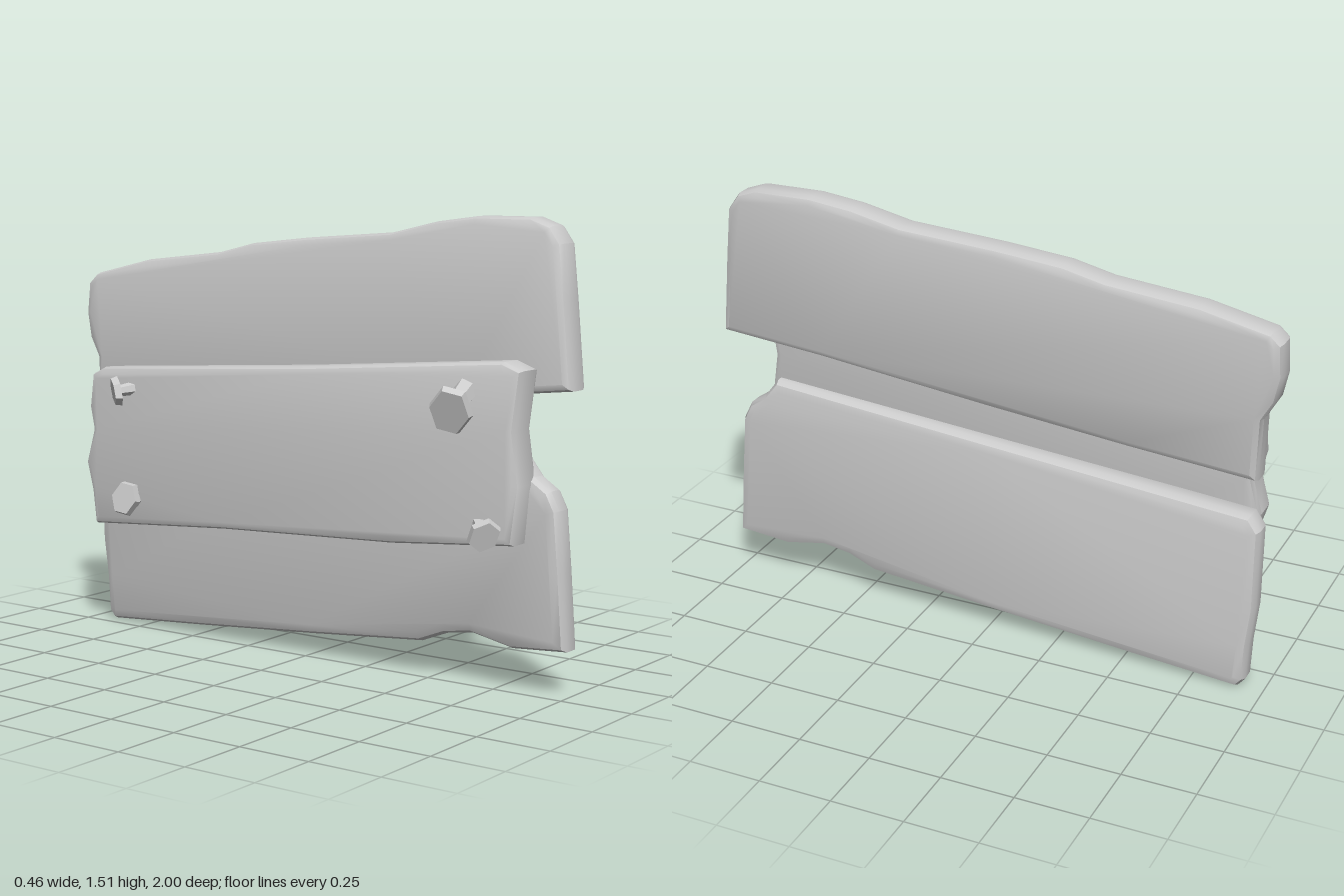
import * as THREE from 'three';
import { toCreasedNormals } from 'three/addons/utils/BufferGeometryUtils.js';

const material = new THREE.MeshStandardMaterial({ color: 0xcccccc });

// Plank from a (z, y) outline; its inner face leans as x = x0 + lean * y + twist * z
function plank(name, outline, { x0, lean, twist, thick, bevel, inset }) {
  const shape = new THREE.Shape(outline.map(([z, y]) => new THREE.Vector2(-z, y)));
  let geo = new THREE.ExtrudeGeometry(shape, {
    depth: thick - 2 * bevel, bevelThickness: bevel, bevelSize: inset,
    bevelOffset: -inset, bevelSegments: 2,
  });
  geo.translate(0, 0, bevel);
  geo.rotateY(Math.PI / 2);
  const p = geo.attributes.position;
  for (let i = 0; i < p.count; i++) {
    p.setX(i, p.getX(i) + x0 + lean * p.getY(i) + twist * p.getZ(i));
  }
  geo.deleteAttribute('normal');
  geo = toCreasedNormals(geo, 0.5);
  const mesh = new THREE.Mesh(geo, material);
  mesh.name = name;
  return mesh;
}

// Low-poly nail: tapered shaft from base to tip with a crooked hexagonal head
function nail(name, base, tip, radius, headRadius) {
  const a = new THREE.Vector3(...base), b = new THREE.Vector3(...tip);
  const length = a.distanceTo(b);
  const group = new THREE.Group();
  group.name = name;
  const flat = material.clone();
  flat.flatShading = true;
  const shaft = new THREE.Mesh(new THREE.CylinderGeometry(radius * 0.75, radius, length, 6), flat);
  shaft.name = 'nailShaft';
  shaft.position.y = length / 2;
  const head = new THREE.Mesh(new THREE.CylinderGeometry(headRadius * 0.9, headRadius, 0.024, 6), flat);
  head.name = 'nailHead';
  head.position.y = length;
  head.scale.z = 0.85;
  group.add(shaft, head);
  group.position.copy(a);
  group.quaternion.setFromUnitVectors(new THREE.Vector3(0, 1, 0), b.sub(a).normalize());
  return group;
}

export function createModel() {
  const model = new THREE.Group();
  model.name = 'nailedPlanks';

  // Outer boards, on the +x side
  model.add(plank('upperPlank', [
    [0.97, 0.97], [0.6, 0.93], [0, 0.85], [-0.5, 0.79], [-0.93, 0.745], [-0.94, 0.97],
    [-0.98, 1.04], [-1, 1.13], [-0.995, 1.24], [-0.96, 1.275], [-0.73, 1.33], [-0.42, 1.365],
    [-0.28, 1.4], [-0.05, 1.425], [0.28, 1.45], [0.45, 1.49], [0.6, 1.51], [0.8, 1.51],
    [0.87, 1.485], [0.91, 1.43], [0.935, 1.25],
  ], { x0: -0.028, lean: 0.066, twist: 0.041, thick: 0.115, bevel: 0.03, inset: 0.025 }));

  model.add(plank('lowerPlank', [
    [1, 0.15], [0.8, 0.135], [0.65, 0.165], [0.55, 0.15], [0.45, 0.11], [0, 0.07], [-0.5, 0.03],
    [-0.91, 0], [-0.935, 0.03], [-0.94, 0.16], [-0.955, 0.3], [-0.955, 0.58], [-0.92, 0.63],
    [0, 0.7], [0.83, 0.765], [0.88, 0.7], [0.94, 0.66], [0.97, 0.6], [0.985, 0.4],
  ], { x0: 0.022, lean: -0.025, twist: -0.012, thick: 0.108, bevel: 0.03, inset: 0.035 }));

  // Inner board joining the two
  model.add(plank('middlePlank', [
    [0.86, 0.49], [0.4, 0.45], [-0.3, 0.42], [-0.88, 0.38], [-0.9, 0.5], [-0.93, 0.6], [-0.9, 0.72],
    [-0.92, 0.8], [-0.91, 0.92], [-0.86, 0.945], [0, 1], [0.8, 1.065], [0.87, 1.04],
    [0.85, 0.85], [0.88, 0.68],
  ], { x0: -0.113, lean: 0.05, twist: 0, thick: 0.125, bevel: 0.025, inset: 0.025 }));

  // Nails sticking out of the inner board
  model.add(
    nail('frontUpperNail', [-0.05, 0.97, 0.67], [-0.2, 0.92, 0.705], 0.04, 0.085),
    nail('frontLowerNail', [-0.06, 0.55, 0.73], [-0.13, 0.525, 0.79], 0.03, 0.06),
    nail('backUpperNail', [-0.05, 0.88, -0.71], [-0.105, 0.87, -0.755], 0.025, 0.055),
    nail('backLowerNail', [-0.06, 0.48, -0.69], [-0.155, 0.5, -0.675], 0.028, 0.065),
  );
  return model;
}
